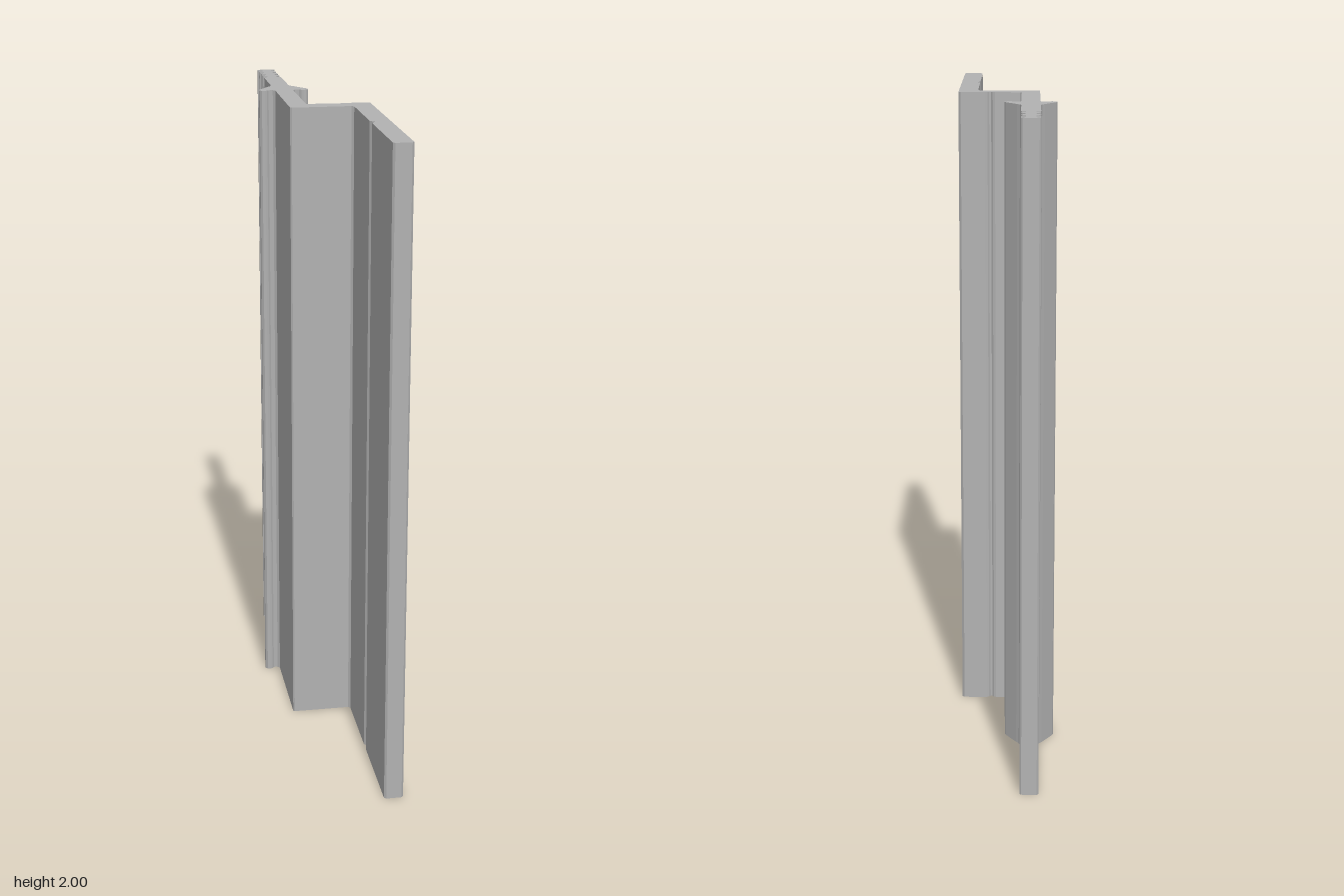
import * as THREE from 'three';

const HEIGHT = 2;
const STEM_X = -0.0725; // centre line of the barbed stem
const HALF = 0.028; // half thickness of the stem

// One side of the stem from its tip towards the bend: [distance from centre line, z]
function stemSide() {
  const side = [[HALF - 0.005, -0.665], [HALF, -0.66], [HALF, -0.651]];
  // Gripping teeth: rounded valleys and crests
  const valleys = [-0.637, -0.597, -0.553, -0.511];
  valleys.forEach((z, i) => {
    side.push([HALF - 0.014, z - 0.005], [HALF - 0.014, z + 0.005]);
    const crest = i < 3 ? (z + valleys[i + 1]) / 2 : -0.492;
    side.push([HALF - 0.001, crest - 0.006], [HALF, crest], [HALF - (i < 3 ? 0.001 : 0), crest + 0.006]);
  });
  // Barb with a rounded lip
  side.push(
    [HALF, -0.333], [HALF + 0.004, -0.322], [HALF + 0.012, -0.312],
    [0.074, -0.261], [0.077, -0.252], [0.076, -0.243], [0.07, -0.236],
    [0.061, -0.234], [0.054, -0.237], [0.048, -0.243], [0.042, -0.245],
    [0.035, -0.243], [HALF, -0.235],
  );
  return side;
}

export function createModel() {
  const group = new THREE.Group();
  group.name = 'extrudedStrip';
  const grey = new THREE.MeshStandardMaterial({ color: 0xb2b2b2 });
  grey.name = 'plain grey';

  const side = stemSide();
  const outline = [
    ...side.map(([d, z]) => [STEM_X + d, z]),
    // Inner bend and cross web with its shallow groove
    [-0.0445, 0.019], [-0.039, 0.024],
    [0.037, 0.024], [0.044, 0.027], [0.049, 0.033], [0.055, 0.033], [0.06, 0.027], [0.067, 0.024],
    // Outer flange
    [0.142, 0.024], [0.149, 0.031],
    [0.149, 0.659], [0.143, 0.665], [0.096, 0.665], [0.09, 0.659],
    // Bending notch
    [0.09, 0.367], [0.1, 0.352], [0.1, 0.346], [0.09, 0.331],
    // Back of the web
    [0.09, 0.088], [0.083, 0.081], [-0.096, 0.081], [-0.1005, 0.077],
    ...side.map(([d, z]) => [STEM_X - d, z]).reverse(),
  ];

  // Profile drawn with y = -z, then stood upright
  const shape = new THREE.Shape(outline.map(([x, z]) => new THREE.Vector2(x, -z)));
  const geometry = new THREE.ExtrudeGeometry(shape, { depth: HEIGHT, bevelEnabled: false });
  geometry.rotateX(-Math.PI / 2);

  const strip = new THREE.Mesh(geometry, grey);
  strip.name = 'barbedProfile';
  group.add(strip);
  return group;
}
